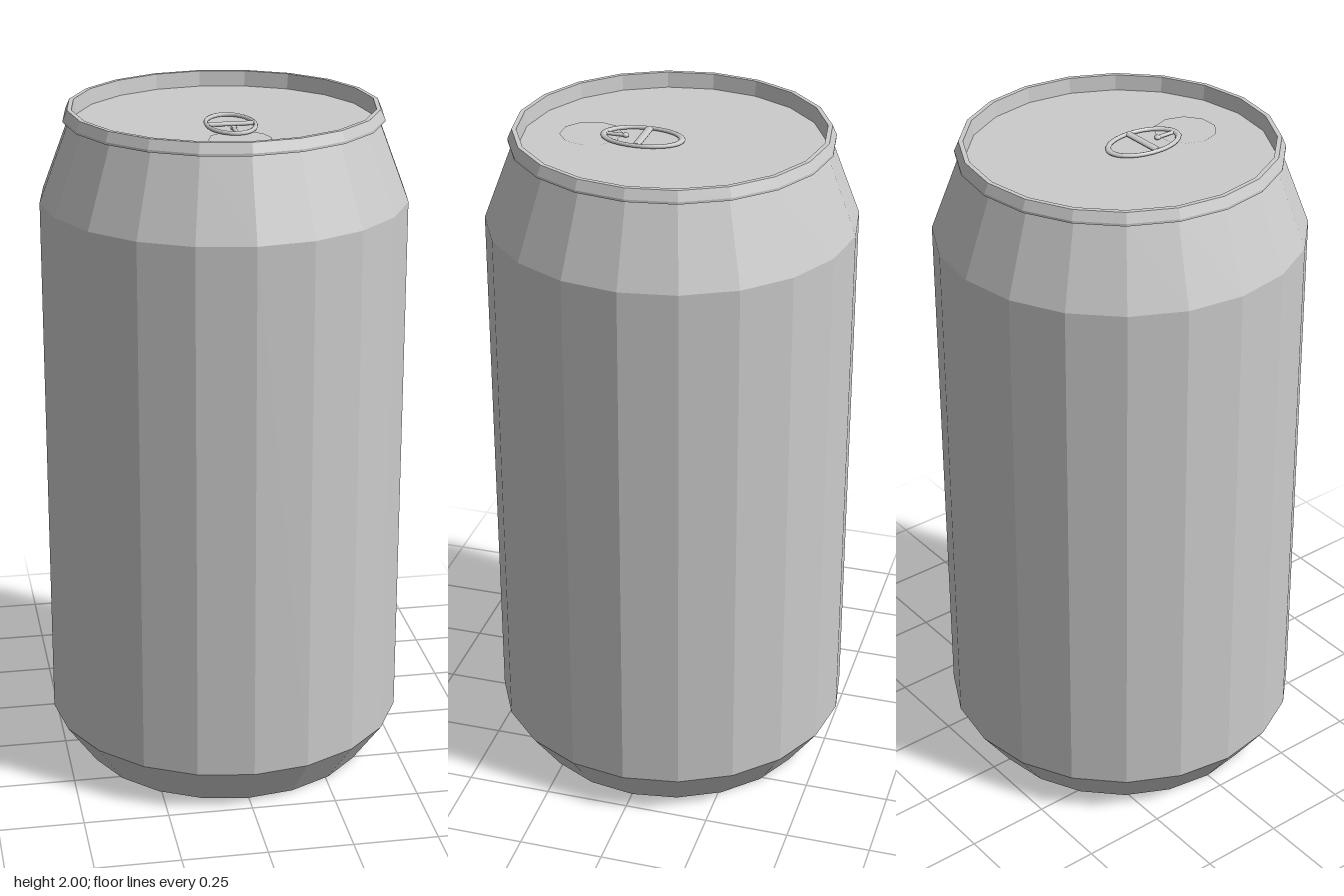
import * as THREE from 'three';

const SIDES = 20;
const LID_Y = 1.955;
const TAB = { x: 0.005, y: LID_Y + 0.008, z: 0.085 };

const metal = new THREE.MeshStandardMaterial({ color: 0xcccccc, flatShading: true });
const smoothMetal = new THREE.MeshStandardMaterial({ color: 0xcccccc });
const paleMetal = new THREE.MeshStandardMaterial({ color: 0xe0e0e0 });

function part(name, geometry, material, x = 0, y = 0, z = 0) {
  const mesh = new THREE.Mesh(geometry, material);
  mesh.name = name;
  mesh.position.set(x, y, z);
  return mesh;
}

// Faceted surface of revolution from [radius, height] pairs
function turned(name, profile) {
  const points = profile.map(([r, y]) => new THREE.Vector2(r, y));
  return part(name, new THREE.LatheGeometry(points, SIDES), metal);
}

function createPullTab() {
  const tab = new THREE.Group();
  tab.name = 'pullTab';
  tab.position.set(TAB.x, TAB.y, TAB.z);

  // Oval ring: a torus laid flat and stretched along z
  const ring = new THREE.TorusGeometry(0.069, 0.006, 8, 32);
  ring.rotateX(Math.PI / 2).scale(1, 1, 1.64);
  tab.add(part('tabRing', ring, smoothMetal));

  // Bar across the middle
  const bar = new THREE.CylinderGeometry(0.012, 0.012, 0.13, 10);
  bar.rotateZ(Math.PI / 2).scale(1, 0.5, 1);
  tab.add(part('tabCrossbar', bar, smoothMetal));

  // Short stem with a rounded end, reaching in from the front of the ring
  const stem = new THREE.CylinderGeometry(0.007, 0.007, 0.06, 8);
  stem.rotateX(Math.PI / 2).scale(1, 0.7, 1);
  tab.add(part('tabStem', stem, smoothMetal, 0, 0, 0.08));
  const rivet = new THREE.SphereGeometry(0.01, 10, 6);
  rivet.scale(1, 0.7, 1);
  tab.add(part('tabRivet', rivet, smoothMetal, 0, 0, 0.05));
  return tab;
}

export function createModel() {
  const can = new THREE.Group();
  can.name = 'drinkCan';

  // Base, straight wall and tapered shoulder
  can.add(turned('body', [[0, 0], [0.44, 0], [0.532, 0.13], [0.532, 1.735], [0.445, 1.965]]));

  // Rolled lip, with its inner wall dropping to the lid
  can.add(turned('rim', [[0.445, 1.965], [0.46, 1.965], [0.46, 1.972], [0.448, 2], [0.435, 2], [0.43, LID_Y]]));

  // Recessed lid
  can.add(turned('lid', [[0.43, LID_Y], [0, LID_Y]]));

  // Ten-sided opening panel in front of the tab
  const panel = new THREE.CircleGeometry(0.09, 10);
  panel.rotateX(-Math.PI / 2);
  can.add(part('openingPanel', panel, paleMetal, TAB.x, LID_Y + 0.002, 0.237));

  can.add(createPullTab());
  return can;
}
